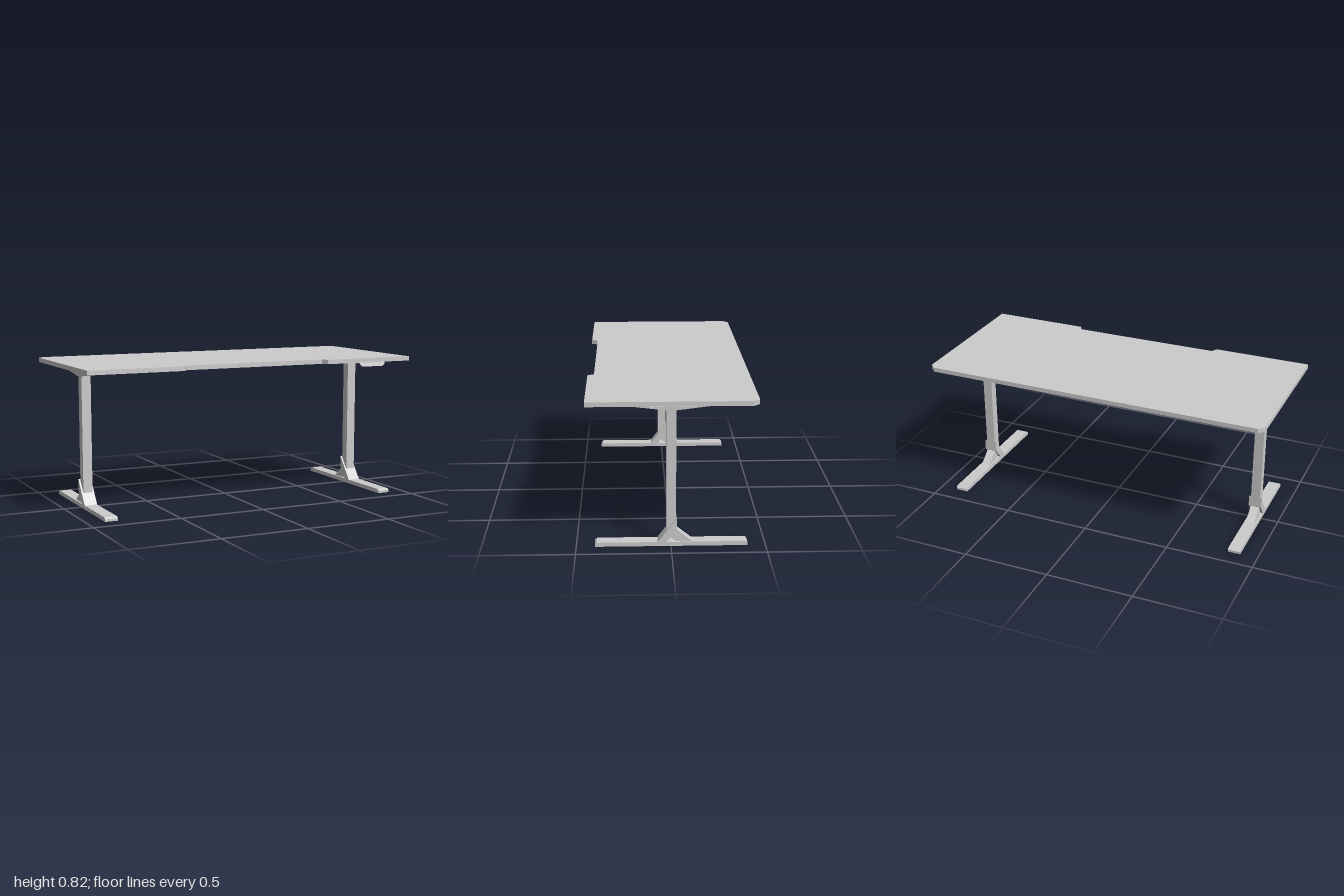
import * as THREE from 'three';

const material = new THREE.MeshStandardMaterial({ color: 0xcccccc, flatShading: true });

function makeShape(points) {
  return new THREE.Shape(points.map(([a, b]) => new THREE.Vector2(a, b)));
}

function makeMesh(name, geometry) {
  const mesh = new THREE.Mesh(geometry, material);
  mesh.name = name;
  return mesh;
}

// Side profile given as (z, y), extruded along x and centred on the given x
function sideExtrude(shape, width, x) {
  const g = new THREE.ExtrudeGeometry(shape, { depth: width, bevelEnabled: false, curveSegments: 4 });
  g.translate(0, 0, -width / 2);
  g.rotateY(-Math.PI / 2);
  g.translate(x, 0, 0);
  return g;
}

function box(x0, x1, y0, y1, z0, z1) {
  const g = new THREE.BoxGeometry(x1 - x0, y1 - y0, z1 - z0);
  g.translate((x0 + x1) / 2, (y0 + y1) / 2, (z0 + z1) / 2);
  return g;
}

// Rounded slot hole centred at (z, y)
function slot(z, y) {
  const r = 0.0045, h = 0.0145;
  const path = new THREE.Path();
  path.absarc(z + h, y, r, -Math.PI / 2, Math.PI / 2, false);
  path.absarc(z - h, y, r, Math.PI / 2, Math.PI * 1.5, false);
  path.closePath();
  return path;
}

// Desktop with clipped back corners and a cable recess at the front
function createDesktop() {
  const outline = makeShape([
    [-1, -0.44], [-0.445, -0.44], [-0.425, -0.405], [0.425, -0.405], [0.445, -0.44], [1, -0.44],
    [1, 0.415], [0.968, 0.446], [-0.968, 0.446], [-1, 0.415],
  ]);
  const g = new THREE.ExtrudeGeometry(outline, { depth: 0.025, bevelEnabled: false });
  g.rotateX(-Math.PI / 2);
  g.translate(0, 0.793, 0);
  return makeMesh('desktop', g);
}

// Slotted plate that carries the desktop
function createBracket(x) {
  const plate = makeShape([
    [-0.24, 0.793], [-0.24, 0.773], [-0.235, 0.77], [-0.027, 0.745],
    [0.027, 0.745], [0.235, 0.77], [0.24, 0.773], [0.24, 0.793],
  ]);
  for (const s of [-1, 1]) {
    for (const z of [0.062, 0.11, 0.158, 0.207]) plate.holes.push(slot(s * z, 0.782));
    for (const z of [0.05, 0.097]) plate.holes.push(slot(s * z, 0.767));
  }
  return makeMesh('topBracket', sideExtrude(plate, 0.01, x));
}

// One T-shaped leg; side is +1 for the left and -1 for the right
function createLeg(side) {
  const leg = new THREE.Group();
  leg.name = side > 0 ? 'leftLeg' : 'rightLeg';
  const x = side * 0.865;

  const foot = makeShape([
    [-0.405, 0], [0.402, 0], [0.402, 0.014], [0.391, 0.023], [-0.394, 0.023], [-0.405, 0.014],
  ]);
  const mainBrace = makeShape([[0.086, 0.002], [0.04, 0.002], [-0.031, 0.092], [-0.031, 0.156]]);
  const backBrace = makeShape([[0.005, 0.046], [-0.029, 0.023], [-0.112, 0.023], [-0.029, 0.09]]);

  leg.add(
    makeMesh('foot', sideExtrude(foot, 0.072, x)),
    makeMesh('mainBrace', sideExtrude(mainBrace, 0.074, x)),
    makeMesh('backBrace', sideExtrude(backBrace, 0.05, x)),
    makeMesh('column', box(x - 0.027, x + 0.027, 0.086, 0.793, -0.027, 0.024)),
    createBracket(x + side * 0.032),
  );
  return leg;
}

// Tilted control panel under the front edge
function createControlPanel() {
  const face = makeShape([
    [0.66, 0.793], [0.66, 0.782], [0.675, 0.77], [0.812, 0.77], [0.827, 0.782], [0.827, 0.793],
  ]);
  const g = new THREE.ExtrudeGeometry(face, { depth: 0.009, bevelEnabled: false });
  const p = g.attributes.position;
  for (let i = 0; i < p.count; i++) {
    p.setZ(i, p.getZ(i) + 0.432 + (0.793 - p.getY(i)) * 0.27);
  }
  g.computeVertexNormals();
  return makeMesh('controlPanel', g);
}

export function createModel() {
  const desk = new THREE.Group();
  desk.name = 'standingDesk';
  desk.add(
    createDesktop(),
    createLeg(1),
    createLeg(-1),
    makeMesh('crossbeam', box(-0.84, 0.84, 0.752, 0.793, -0.026, 0.024)),
    createControlPanel(),
  );
  return desk;
}
